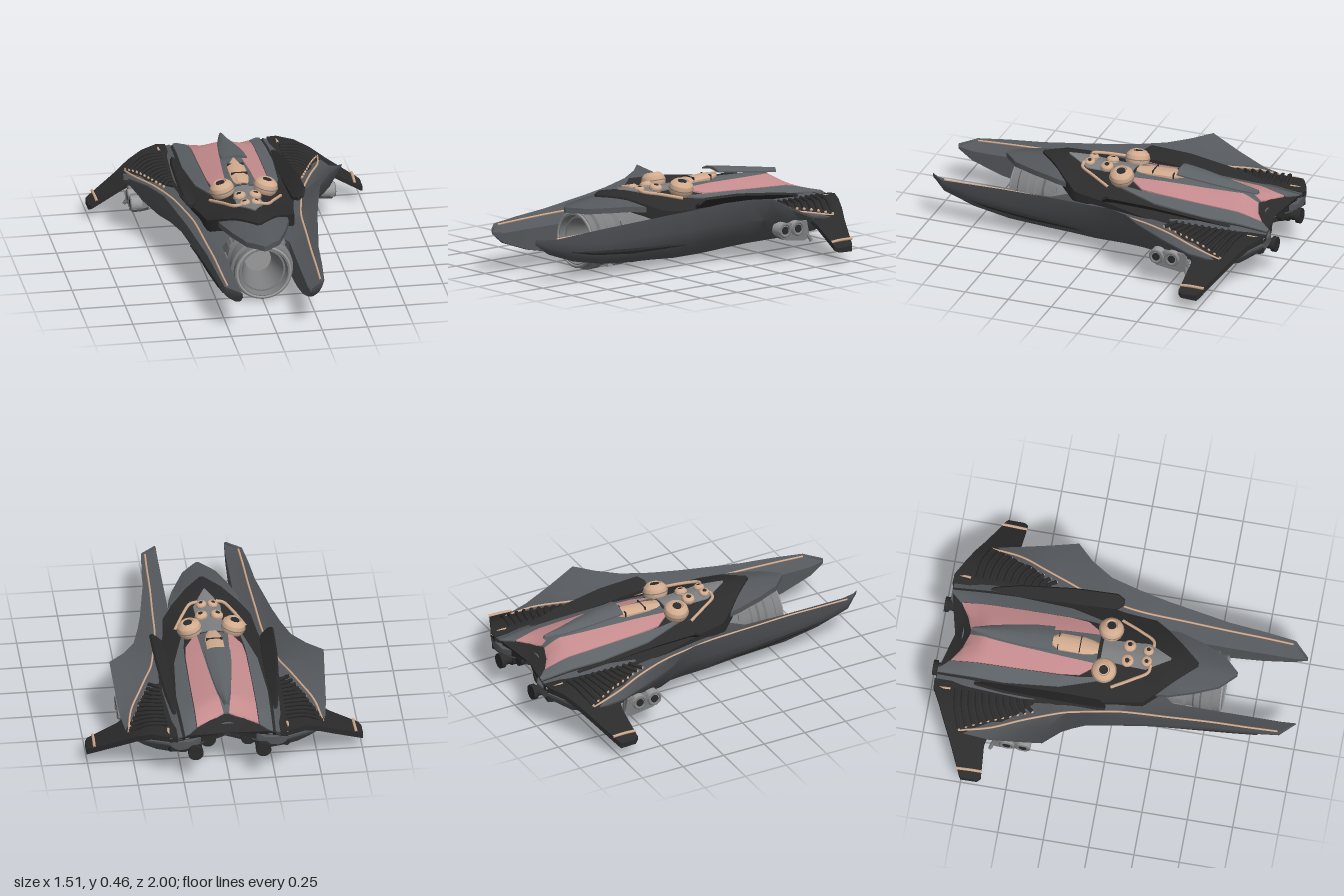
import * as THREE from 'three';
import { toCreasedNormals } from 'three/addons/utils/BufferGeometryUtils.js';

const mat = (name, color) => Object.assign(new THREE.MeshStandardMaterial({ color }), { name });
const HULL = mat('hull grey', 0x54575b), PANEL = mat('panel grey', 0x5d6266), BLACK = mat('black plating', 0x2b2b2c);
const PINK = mat('pink panel', 0xc58b8d), TAN = mat('tan trim', 0xd2ab8e), METAL = mat('engine metal', 0x7d7e80);
const LIGHT = mat('light metal', 0x9b9b9b);

// Linear lookup in rows sorted by falling z: [z, a, b, ...]
function look(rows, z) {
  let i = 0;
  while (i < rows.length - 2 && z < rows[i + 1][0]) i++;
  const a = rows[i], b = rows[i + 1];
  const t = THREE.MathUtils.clamp((a[0] - z) / (a[0] - b[0]), 0, 1);
  return a.map((v, k) => v + (b[k] - v) * t);
}

// Closed skin through equal-length rings, capped, always facing outward
function loft(rings, s = 1, crease = 0.6) {
  const n = rings[0].length, pos = [], idx = [];
  rings.forEach(r => r.forEach(p => pos.push(p[0] * s, p[1], p[2])));
  for (let i = 0; i < rings.length - 1; i++) for (let j = 0; j < n; j++) {
    const a = i * n + j, b = i * n + (j + 1) % n;
    idx.push(a, b, b + n, a, b + n, a + n);
  }
  [[rings[0], 0, true], [rings.at(-1), (rings.length - 1) * n, false]].forEach(([r, base, first]) => {
    const c = pos.length / 3;
    pos.push(...[0, 1, 2].map(k => r.reduce((t, p) => t + p[k], 0) / n * (k ? 1 : s)));
    for (let j = 0; j < n; j++) {
      const a = base + j, b = base + (j + 1) % n;
      first ? idx.push(c, b, a) : idx.push(c, a, b);
    }
  });
  const v = k => new THREE.Vector3().fromArray(pos, k * 3);
  let vol = 0;
  for (let i = 0; i < idx.length; i += 3) vol += v(idx[i]).dot(v(idx[i + 1]).cross(v(idx[i + 2])));
  if (vol < 0) idx.reverse();
  const g = new THREE.BufferGeometry();
  g.setAttribute('position', new THREE.Float32BufferAttribute(pos, 3));
  g.setIndex(idx);
  return toCreasedNormals(g, crease);
}

// Wing sections: z, inner x y, crease x y, outer x y, keel x y, inner underside y
const WING = [
  [1, .186, .25, .19, .264, .195, .264, .187, .24, .24], [.92, .185, .235, .255, .265, .275, .272, .215, .18, .18],
  [.75, .185, .235, .262, .27, .292, .287, .215, .12, .12], [.55, .185, .235, .268, .275, .307, .3, .21, .08, .08],
  [.32, .185, .24, .28, .275, .342, .318, .2, .06, .06], [.2, .1, .25, .287, .275, .36, .328, .2, .055, .055],
  [.05, 0, .28, .295, .275, .39, .34, .2, .045, .045], [-.12, 0, .28, .325, .275, .43, .362, .2, .045, .045],
  [-.24, 0, .28, .35, .275, .5, .377, .2, .05, .05], [-.33, 0, .28, .385, .28, .585, .385, .2, .055, .055],
  [-.48, 0, .28, .43, .27, .575, .31, .2, .06, .065], [-.63, 0, .27, .46, .26, .565, .245, .2, .068, .09],
  [-.77, 0, .28, .445, .252, .545, .22, .21, .08, .15], [-.86, .03, .28, .41, .25, .5, .22, .23, .115, .215],
  [-.97, .2, .25, .3, .25, .33, .25, .27, .2, .215]];
function wingY(x, z) {
  const [, xi, yi, xp, yp, xo, yo] = look(WING, z);
  return x < xp ? yi + (yp - yi) * (x - xi) / (xp - xi) : yp + (yo - yp) * (x - xp) / (xo - xp);
}
// Upper body profile: z, ridge height, drop at the edge, roundness; with a notch scooped out of the tail
const RIDGE = [[.64, .385, .13, 1.5], [.43, .415, .13, 1.5], [.31, .428, .13, 1.5], [.1, .402, .13, 1.5], [-.1, .4, .13, 1.5],
  [-.3, .403, .13, 1.4], [-.8, .38, .115, 1.2], [-.9, .345, .085, 1.2], [-.97, .32, .06, 1.2]];
function bodyY(x, z) {
  const [, y, drop, power] = look(RIDGE, z);
  return y - drop * Math.pow(Math.abs(x) / .33, power);
}
const notch = (x, z) => z + .14 * Math.max(0, 1 - (x / .22) ** 2) * THREE.MathUtils.clamp((-.7 - z) / .27, 0, 1);

// Slab that follows the upper body; rows are z, inner x, outer x
function slab(rows, lift, thick, s = 1) {
  const rings = [], N = 12, z0 = rows[0][0], z1 = rows.at(-1)[0];
  const zs = [...new Set([...rows.map(r => r[0]), ...Array.from({ length: 15 }, (_, i) => z0 + (z1 - z0) * i / 14)])].sort((a, b) => b - a);
  for (const z of zs) {
    const [, xa, xb] = look(rows, z), top = [];
    for (let j = 0; j <= N; j++) {
      const x = xa + (xb - xa) * j / N;
      top.push([x, bodyY(x, z) + lift, notch(x, z)]);
    }
    rings.push([...top, ...top.map(p => [p[0], p[1] - thick, p[2]]).reverse()]);
  }
  return loft(rings, s);
}

export function createModel() {
  const root = new THREE.Group();
  root.name = 'skimmer';
  const add = (name, geo, m, x = 0, y = 0, z = 0) => {
    const mesh = new THREE.Mesh(geo, m);
    mesh.name = name;
    mesh.position.set(x, y, z);
    root.add(mesh);
    return mesh;
  };
  const tube = (pts, r, s = 1) => new THREE.TubeGeometry(
    new THREE.CatmullRomCurve3(pts.map(p => new THREE.Vector3(p[0] * s, p[1], p[2]))), pts.length * 6, r, 6);
  const turned = pts => toCreasedNormals(new THREE.LatheGeometry(pts.map(p => new THREE.Vector2(...p)), 32), .5);
  const cylZ = (r, l) => new THREE.CylinderGeometry(r, r, l, 24).rotateX(Math.PI / 2);
  const cylX = (r, l) => new THREE.CylinderGeometry(r, r, l, 20).rotateZ(Math.PI / 2);

  // Upper body, nose hood and raised spine
  add('noseHood', slab([[.645, -.008, .008], [.56, -.09, .09], [.43, -.145, .145], [.3, -.185, .185], [.05, -.2, .2]], -.014, .03), HULL);
  add('upperBody', slab([[.43, -.01, .01], [.24, -.18, .18], [.16, -.24, .24], [0, -.26, .26], [-.2, -.3, .3],
    [-.4, -.335, .335], [-.95, -.33, .33], [-.97, -.32, .32]], 0, .07), BLACK);
  add('spine', loft([[-.37, .07, .467], [-.48, .066, .453], [-.6, .052, .435], [-.72, .033, .416], [-.82, .01, .402]].map(([z, w, y]) =>
    [[-w, y - .018, z], [-w / 2, y - .004, z], [0, y, z], [w / 2, y - .004, z], [w, y - .018, z], [w, y - .026, z], [0, y - .016, z], [-w, y - .026, z]])), PANEL);
  add('spineBase', slab([[-.12, -.085, .085], [-.3, -.085, .085], [-.5, -.06, .06], [-.96, -.02, .02]], .008, .03), PANEL);

  // Arched scoop between the thrusters
  const arch = (r, z) => Array.from({ length: 15 }, (_, i) => [Math.cos(i * Math.PI / 14) * r, .19 + Math.sin(i * Math.PI / 14) * r, z]);
  add('tailScoop', loft([-.72, -.87].map(z => [...arch(.105, z), ...arch(.09, z).reverse()])), PANEL);

  // Cockpit fairing
  add('cockpit', loft([[-.12, .035, .415], [-.2, .048, .425], [-.33, .048, .43], [-.41, .005, .432]].map(([z, w, y]) =>
    [[-w, .37, z], [-w, y - .015, z], [-w / 2, y, z], [w / 2, y, z], [w, y - .015, z], [w, .37, z]])), TAN);
  for (const z of [-.22, -.34]) add('cockpitBand', new THREE.BoxGeometry(.09, .05, .005), BLACK, 0, .405, z);
  add('cockpitFloor', slab([[.28, -.005, .005], [.15, -.075, .075], [-.1, -.06, .06]], .006, .02), METAL);

  // Intake engine under the nose
  add('engine', turned([[0, -.25], [.15, -.25], [.15, .25], [.165, .3], [.165, .37], [.15, .39], [.15, .42], [.162, .43], [.162, .46],
    [.172, .47], [.172, .52], [.158, .53], [.158, .57], [.135, .575], [.125, .54], [.115, .54], [.072, .38], [0, .38]]).rotateX(Math.PI / 2), METAL, 0, .183, 0);
  add('intakeDisc', cylZ(.072, .008), LIGHT, 0, .183, .383);
  add('intakeRing', new THREE.TorusGeometry(.146, .008, 8, 40), LIGHT, 0, .183, .572);
  for (let i = 0; i < 12; i++) {
    const a = i * Math.PI / 6;
    add('engineLug', new THREE.BoxGeometry(.03, .014, .07), METAL, Math.sin(a) * .166, .183 + Math.cos(a) * .166, .335).rotation.z = -a;
  }
  for (let i = 0; i < 4; i++) add('bellyRing', cylZ(.148, .03), METAL, 0, .178, .18 - i * .055);
  [[.31, .13, .17], [-.13, .16, .24], [-.01, .11, .03]].forEach(([z, w, l], i) =>
    add('bellyBlock', new THREE.BoxGeometry(w, .036, l), i ? METAL : LIGHT, 0, .036, z));

  for (const s of [1, -1]) {
    // Wing and prong
    add('wing', loft(WING.map(([z, xi, yi, xp, yp, xo, yo, xb, yb, yc]) => {
      const on = (t, u) => [xb + (xo - xb) * t, yb + (yo - yb) * u, z];
      return [[xi, yi, z], [xp, yp, z], [(xp + xo) / 2, (yp + yo) / 2, z], [xo, yo, z], [xo - .003, yo - .012, z],
        on(.82, .6), on(.58, .31), on(.3, .12), [xb, yb, z], [(xi + xb) / 2, (yb + yc) / 2 - .003, z], [xi, yc, z]];
    }), s), HULL);
    add('prongLens', loft([[.8, .003], [.65, .014], [.4, .02], [.2, .014], [.05, .003]].map(([z, h]) => {
      const [, , , , , xo, yo, xb, yb] = look(WING, z), x = xb + (xo - xb) * .58, y = yb + (yo - yb) * .31;
      return [[x - .02, y - h, z], [x + .002, y - h * .8, z], [x + .008, y, z], [x + .004, y + h * .8, z], [x - .01, y + h, z]];
    }), s), BLACK);
    add('wingTrim', tube([[.255, .91], [.262, .75], [.268, .55], [.28, .32], [.295, .05], [.325, -.12], [.35, -.24], [.39, -.35],
      [.44, -.48], [.5, -.63], [.532, -.8]].map(([x, z]) => [x, wingY(x, z) + .003, z]), .006, s), TAN);

    // Black rear fin with tan tip band
    const fin = [[.28, -.42, -.975, .272], [.33, -.42, -.972, .276], [.42, -.52, -.925, .268], [.5, -.63, -.885, .235], [.58, -.65, -.84, .185],
      [.74, -.64, -.76, .095], [.755, -.66, -.75, .085]];
    add('rearFin', loft(fin.map(([x, zf, zb, y]) => [[x, y - .015, zf], [x, y + .01, zf], [x, y + .014, zb], [x, y - .018, zb]]), s), BLACK);
    add('finBand', tube([[.71, .123, -.64], [.712, .128, -.7], [.715, .128, -.78]], .008, s), TAN);
    add('tailTrim', tube([[.325, .285, -.88], [.327, .284, -.92], [.315, .276, -.975]], .008, s), TAN);

    // Feathered cooling ribs
    for (let i = 0; i < 11; i++) {
      const t = i / 10, xo = .525 - .145 * t, zo = -.8 + .38 * t;
      const y = Math.max(wingY(xo, zo), look(fin.map(f => [-f[0], f[3]]), -xo)[1]) + .01;
      add('rib', tube([[.325, .296, zo - .05], [(xo + .33) / 2, Math.max(y, .28) + .012, zo - .035], [xo, y, zo]], .011, s), BLACK);
      add('ribTip', new THREE.SphereGeometry(.009, 8, 6), TAN, s * xo, y, zo);
    }

    // Painted deck panels and tilted blade
    add('pinkPanel', slab([[-.12, .085, .1], [-.2, .08, .155], [-.3, .075, .165], [-.55, .055, .168], [-.96, .015, .168]], .009, .02, s), PINK);
    add('sidePanel', slab([[-.08, .15, .165], [-.2, .165, .2], [-.3, .17, .228], [-.6, .172, .25], [-.965, .172, .24]], .008, .025, s), PANEL);
    add('outerPanel', slab([[-.42, .3, .31], [-.65, .268, .325], [-.965, .255, .322]], .008, .02, s), HULL);
    add('blade', loft([[-.03, .295, .315, .34], [-.07, .265, .33, .332], [-.3, .258, .326, .322], [-.6, .256, .305, .3], [-.74, .258, .28, .295], [-.76, .262, .272, .295]]
      .map(([z, a, b, y]) => [[a, y - .018, z], [a, y, z], [b, y + (b - a) * .8, z], [b + .01, y + (b - a) * .8 - .012, z]]), s), BLACK);

    // Twin domes, small domes and frame rods
    const dome = (r, x, y, z) => {
      const d = new THREE.Group();
      d.name = 'dome';
      const part = (n, g, m) => { const p = new THREE.Mesh(g, m); p.name = n; d.add(p); };
      part('domeShell', turned([[0, -.8], [.7, -.7], [.95, -.3], [1, 0], [.9, .35], [.65, .6], [.5, .66], [.45, .55], [0, .55]].map(p => [p[0] * r, p[1] * r])), TAN);
      part('domeBand', new THREE.CylinderGeometry(r * 1.02, r * 1.02, r * .08, 28), METAL);
      part('domeEye', new THREE.CylinderGeometry(r * .36, r * .36, r * .06, 20).translate(0, r * .58, 0), BLACK);
      d.position.set(s * x, y, z);
      d.rotation.z = -s * .25;
      root.add(d);
    };
    dome(.068, .12, .405, -.07);
    dome(.036, .042, .405, .045);
    dome(.03, .03, .41, .15);
    add('frameRod', tube([[.05, .416, .175], [.09, .408, .17], [.14, .392, .09], [.195, .365, -.02]], .009, s), TAN);

    // Side pods beneath the wing corner
    add('podHousing', loft([[.46, .7], [.5, .9], [.55, 1]].map(([x, k]) =>
      [[x, .215, -.5 + .09 * k], [x, .165, -.5 + .1 * k], [x, .135, -.5 + .06 * k], [x, .115, -.5 - .08 * k], [x, .13, -.5 - .12 * k], [x, .225, -.5 - .1 * k]]), s), METAL);
    for (const z of [-.44, -.53]) {
      add('podBarrel', cylX(.042, .06), LIGHT, s * .53, .19, z);
      add('podRim', new THREE.TorusGeometry(.034, .007, 8, 24).rotateY(Math.PI / 2), METAL, s * .56, .19, z);
      add('podBore', cylX(.022, .006), BLACK, s * .561, .19, z);
    }
    add('podStrut', tube([[.49, .225, -.58], [.53, .17, -.6], [.565, .11, -.62]], .01, s), METAL);

    // Tail thrusters
    for (const [x, y, z] of [[.185, .19, -1], [.11, .225, -.925]]) {
      add('thrusterPipe', cylZ(.03, .2), BLACK, s * x, y, z + .11);
      add('thrusterRim', cylZ(.042, .025), BLACK, s * x, y, z + .013);
      add('thrusterCollar', cylZ(.04, .03), BLACK, s * x, y, z + .085);
    }
  }
  return root;
}
